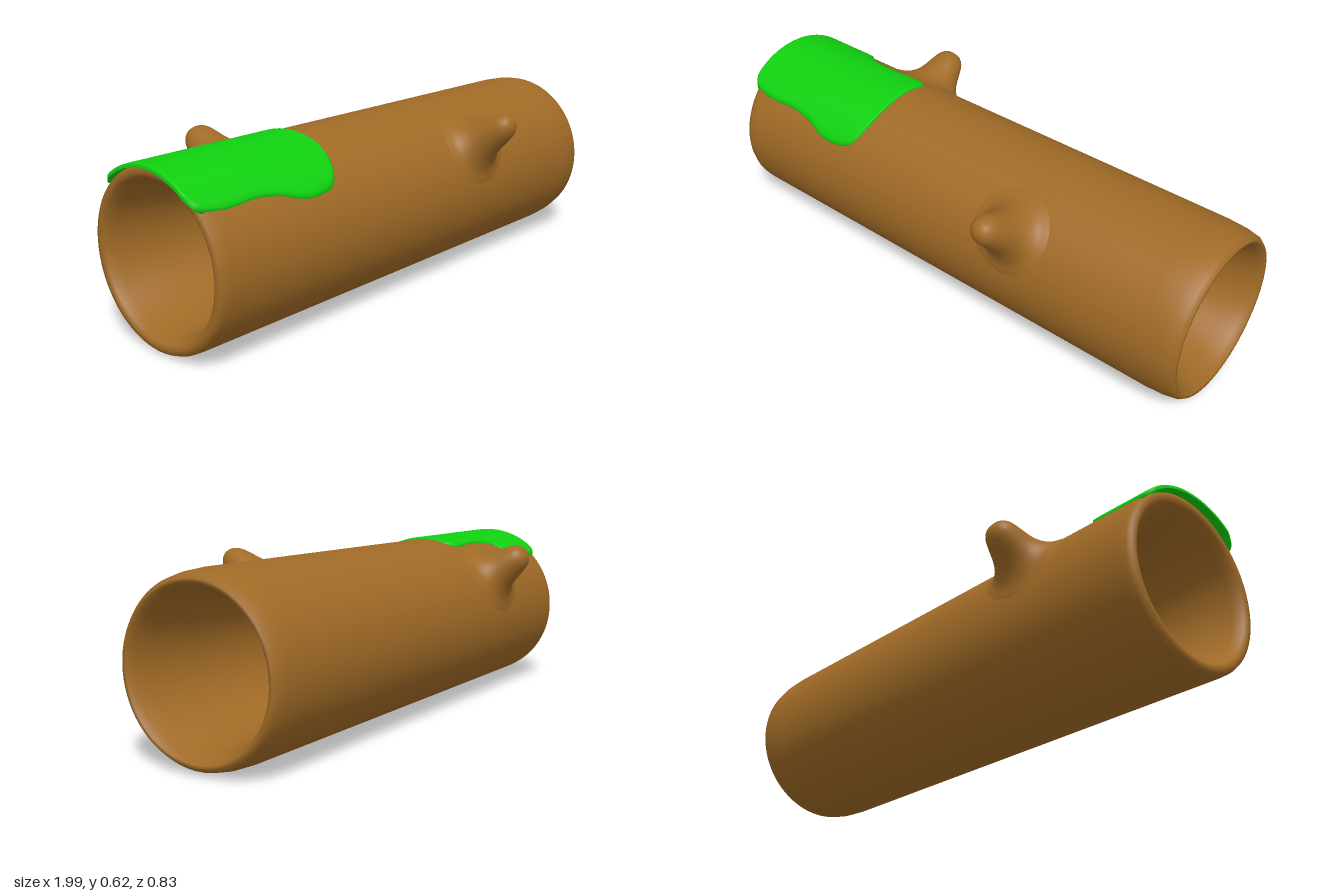
import * as THREE from 'three';
import { mergeVertices } from 'three/addons/utils/BufferGeometryUtils.js';

const R = 0.306, CY = 0.307, CZ = -0.018; // log radius and axis position
const bark = new THREE.MeshStandardMaterial({ color: 0xa06a26 });
const green = new THREE.MeshStandardMaterial({ color: 0x10d010 });
const vec = (list) => list.map(([a, b]) => new THREE.Vector2(a, b));

// Drops old normals and joins seams so the shading is smooth all round.
function smooth(geo) {
  geo.deleteAttribute('normal');
  geo.deleteAttribute('uv');
  const merged = mergeVertices(geo, 1e-5);
  merged.computeVertexNormals();
  return merged;
}

function part(name, geo, material) {
  const mesh = new THREE.Mesh(geo, material);
  mesh.name = name;
  mesh.position.set(0, CY, CZ);
  return mesh;
}

// Hollow log: outer wall, rounded lip, and a bore that narrows to the middle.
function logGeometry() {
  const profile = vec([
    [0.2, 0], [0.205, -0.4], [0.225, -0.75], [0.25, -0.93], [0.266, -0.962], [0.28, -0.97],
    [0.297, -0.966], [0.304, -0.95], [R, -0.92], [R, -0.4], [R, 0.4], [R, 0.87],
    [0.302, 0.94], [0.294, 0.982], [0.282, 0.998], [0.27, 0.997], [0.258, 0.975],
    [0.245, 0.92], [0.225, 0.75], [0.205, 0.4], [0.2, 0],
  ]);
  return smooth(new THREE.LatheGeometry(profile, 96).rotateZ(-Math.PI / 2));
}

// Branch stub: a rounded knob whose flared foot follows the curve of the log.
function stubGeometry(tilt, height, widthX) {
  const rail = new THREE.SplineCurve(vec([
    [0.165, -0.006], [0.14, 0.002], [0.11, 0.014], [0.085, 0.043], [0.07, 0.08],
    [0.058, 0.13], [0.046, 0.17], [0.026, 0.194], [0, 0.2],
  ]));
  const profile = rail.getPoints(32);
  profile[32].x = 0;
  const geo = new THREE.LatheGeometry(profile, 40);
  const p = geo.attributes.position;
  for (let i = 0; i < p.count; i++) {
    const z = p.getZ(i);
    p.setXYZ(i, p.getX(i) * widthX, p.getY(i) * height + Math.sqrt(R * R - z * z), z);
  }
  return smooth(geo.rotateX(tilt));
}

// Moss: a thin closed sheet spanned between two wavy edges (x, z) and wrapped on the log.
function mossGeometry() {
  const front = new THREE.SplineCurve(vec([
    [-0.995, 0.17], [-0.97, 0.21], [-0.88, 0.225], [-0.76, 0.222], [-0.67, 0.23],
    [-0.58, 0.248], [-0.5, 0.25], [-0.43, 0.235], [-0.395, 0.18], [-0.38, 0.08],
  ]));
  const back = new THREE.SplineCurve(vec([
    [-0.99, -0.21], [-0.96, -0.242], [-0.88, -0.242], [-0.79, -0.24], [-0.74, -0.22],
    [-0.7, -0.175], [-0.64, -0.15], [-0.53, -0.147], [-0.42, -0.152], [-0.38, -0.12],
  ]));
  const inner = R - 0.006;
  const angle = (z) => Math.asin((z - CZ) / (R + 0.006));
  const geo = new THREE.PlaneGeometry(1, 1, 72, 64);
  const { position: p, uv } = geo.attributes;
  for (let i = 0; i < p.count; i++) {
    const u = uv.getX(i), v = uv.getY(i);
    const s = v <= 0.5 ? v * 2 : 2 - v * 2;
    const a = front.getPoint(u), b = back.getPoint(u);
    const x = THREE.MathUtils.lerp(a.x, b.x, s);
    const t = THREE.MathUtils.lerp(angle(a.y), angle(b.y), s);
    const fade = (w) => Math.sqrt(Math.max(0, 1 - Math.abs(2 * w - 1) ** 24));
    const r = v <= 0.5 ? inner + 0.014 * fade(s) * fade(u) : inner;
    p.setXYZ(i, x, r * Math.cos(t), r * Math.sin(t));
  }
  return smooth(geo);
}

export function createModel() {
  const model = new THREE.Group();
  model.name = 'hollowLog';

  const frontStub = part('frontBranchStub', stubGeometry(0.975, 1, 1), bark);
  frontStub.position.x = 0.32;
  const backStub = part('backBranchStub', stubGeometry(-0.97, 0.83, 1.1), bark);
  backStub.position.x = -0.48;

  model.add(
    part('log', logGeometry(), bark),
    frontStub,
    backStub,
    part('mossPatch', mossGeometry(), green),
  );
  return model;
}
